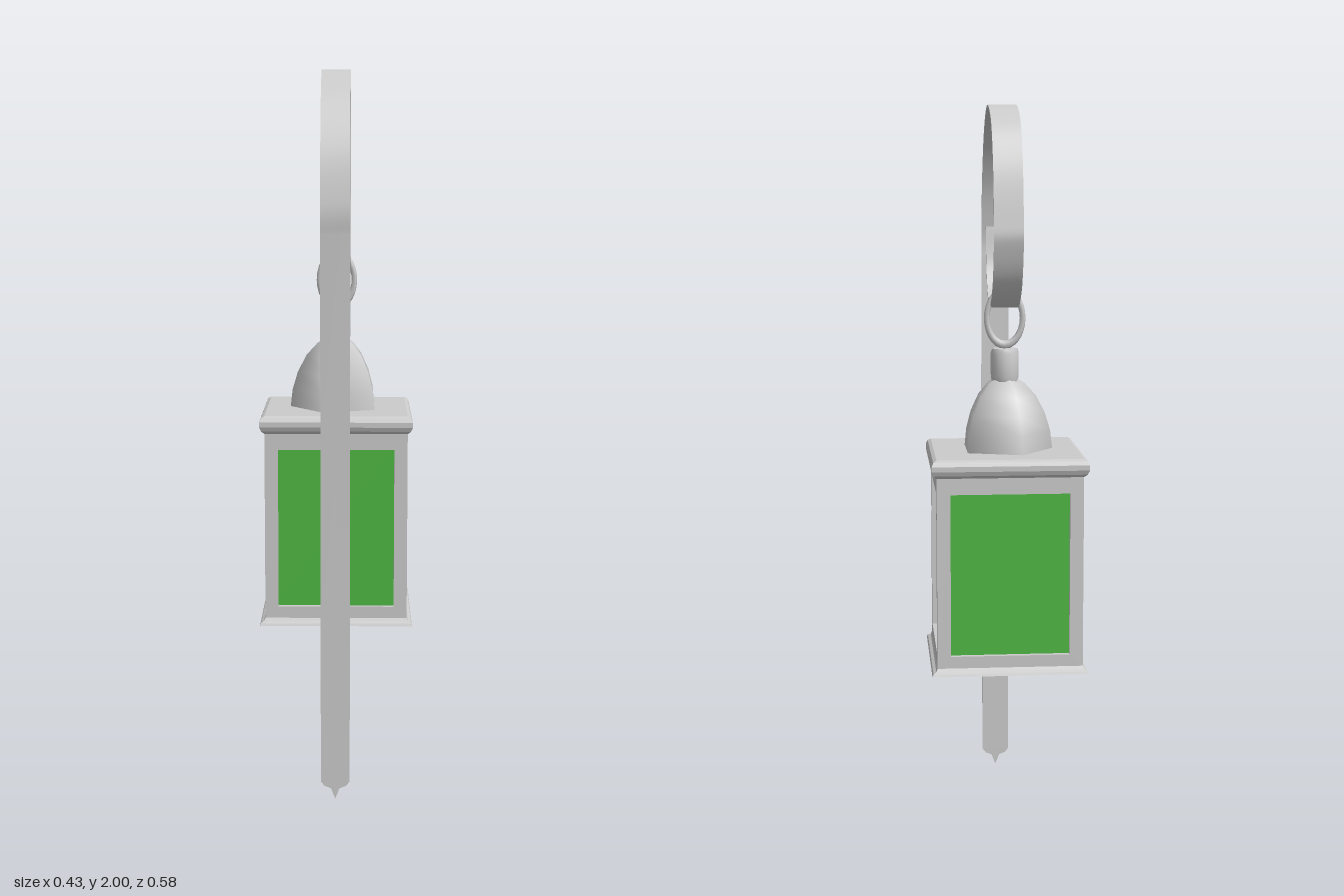
import * as THREE from 'three';
import { toCreasedNormals } from 'three/addons/utils/BufferGeometryUtils.js';

const grey = new THREE.MeshStandardMaterial({ color: 0xcccccc, side: THREE.DoubleSide });
const green = new THREE.MeshStandardMaterial({ color: 0x4fb842 });
const V = (x, y) => new THREE.Vector2(x, y);
const LANTERN_Z = -0.077, POST_Z = 0.286;

function part(parent, name, geometry, material = grey) {
  const mesh = new THREE.Mesh(geometry, material);
  mesh.name = name;
  parent.add(mesh);
  return mesh;
}

// Square moulding turned from a profile of [half width, height]
function squareMoulding(profile) {
  const pts = profile.map(([w, y]) => V(w * Math.SQRT2, y));
  return toCreasedNormals(new THREE.LatheGeometry(pts, 4, Math.PI / 4), 0.2);
}

// Flat strip that follows a path in the z-y plane
function stripGeometry(path, thickness, width) {
  const sides = [1, -1].map((s) => path.map((p, i) => {
    const a = path[Math.max(i - 1, 0)], b = path[Math.min(i + 1, path.length - 1)];
    const t = b.clone().sub(a).normalize();
    return V(p.x - t.y * s * thickness / 2, p.y + t.x * s * thickness / 2);
  }));
  const shape = new THREE.Shape([...sides[0], ...sides[1].reverse()]);
  const g = new THREE.ExtrudeGeometry(shape, { depth: width, bevelEnabled: false });
  g.translate(0, 0, -width / 2).rotateY(-Math.PI / 2);
  return toCreasedNormals(g, 0.6);
}

// Wall with a window opening, outer face at z = 0.2
function wallGeometry(halfWidth) {
  const rect = (C, w, y0, y1) => new C([V(-w, y0), V(w, y0), V(w, y1), V(-w, y1)]);
  const wall = rect(THREE.Shape, halfWidth, 0.465, 1.005);
  wall.holes.push(rect(THREE.Path, 0.163, 0.505, 0.955));
  return new THREE.ExtrudeGeometry(wall, { depth: 0.03, bevelEnabled: false }).translate(0, 0, 0.17);
}

export function createModel() {
  const model = new THREE.Group();
  model.name = 'hangingLantern';

  // Post and curled hook as one strip
  const curl = new THREE.SplineCurve([
    V(POST_Z, 1.56), V(POST_Z, 1.64), V(0.25, 1.79), V(0.167, 1.93), V(0.045, 1.996), V(-0.1, 1.955),
    V(-0.178, 1.844), V(-0.215, 1.685), V(-0.215, 1.616), V(-0.167, 1.51), V(-0.062, 1.448),
    V(0.024, 1.478), V(0.077, 1.553), V(0.097, 1.662),
  ]).getPoints(78);
  part(model, 'postAndHook', stripGeometry([V(POST_Z, 0.05), ...curl], 0.008, 0.08));

  // Ground spike
  const spike = new THREE.Shape([
    V(0.04, 0.05), V(-0.04, 0.05), V(-0.03, 0.037), V(-0.012, 0.03), V(0, 0), V(0.012, 0.03), V(0.03, 0.037),
  ]);
  part(model, 'groundSpike', new THREE.ExtrudeGeometry(spike, { depth: 0.008, bevelEnabled: false })
    .translate(0, 0, POST_Z - 0.004));

  const lantern = new THREE.Group();
  lantern.name = 'lantern';
  lantern.position.z = LANTERN_Z;
  model.add(lantern);

  // Hanging ring
  part(lantern, 'hangingRing', new THREE.TorusGeometry(0.05, 0.008, 6, 28)
    .scale(1, 1.48, 1).translate(0, 1.416, 0));

  // Cap
  const cap = [[0, 1.24], [0.036, 1.24], [0.039, 1.255], [0.039, 1.32], [0.035, 1.332], [0, 1.332]];
  part(lantern, 'cap', toCreasedNormals(
    new THREE.LatheGeometry(cap.map(([r, y]) => V(r, y)), 12), 0.9));

  // Five-sided dome
  const dome = [[0.134, 1.048], [0.128, 1.1], [0.113, 1.15], [0.087, 1.2], [0.055, 1.235], [0.03, 1.25]];
  part(lantern, 'dome', new THREE.LatheGeometry(dome.map(([r, y]) => V(r, y)), 5, -Math.PI / 2));

  // Roof rim and base plate
  part(lantern, 'roofRim', squareMoulding([
    [0, 1.0], [0.2, 1.0], [0.209, 1.008], [0.214, 1.02], [0.214, 1.034], [0.209, 1.045], [0.2, 1.05], [0, 1.05],
  ]));
  part(lantern, 'basePlate', squareMoulding([
    [0, 0.452], [0.215, 0.452], [0.212, 0.459], [0.204, 0.464], [0.2, 0.472], [0, 0.472],
  ]));

  // Window frames on four sides with glass set behind them
  for (let i = 0; i < 4; i++) {
    const frame = part(lantern, 'windowFrame', wallGeometry(i % 2 ? 0.17 : 0.2));
    frame.rotation.y = i * Math.PI / 2;
  }
  part(lantern, 'glass', new THREE.BoxGeometry(0.37, 0.5, 0.37).translate(0, 0.73, 0), green);

  return model;
}
